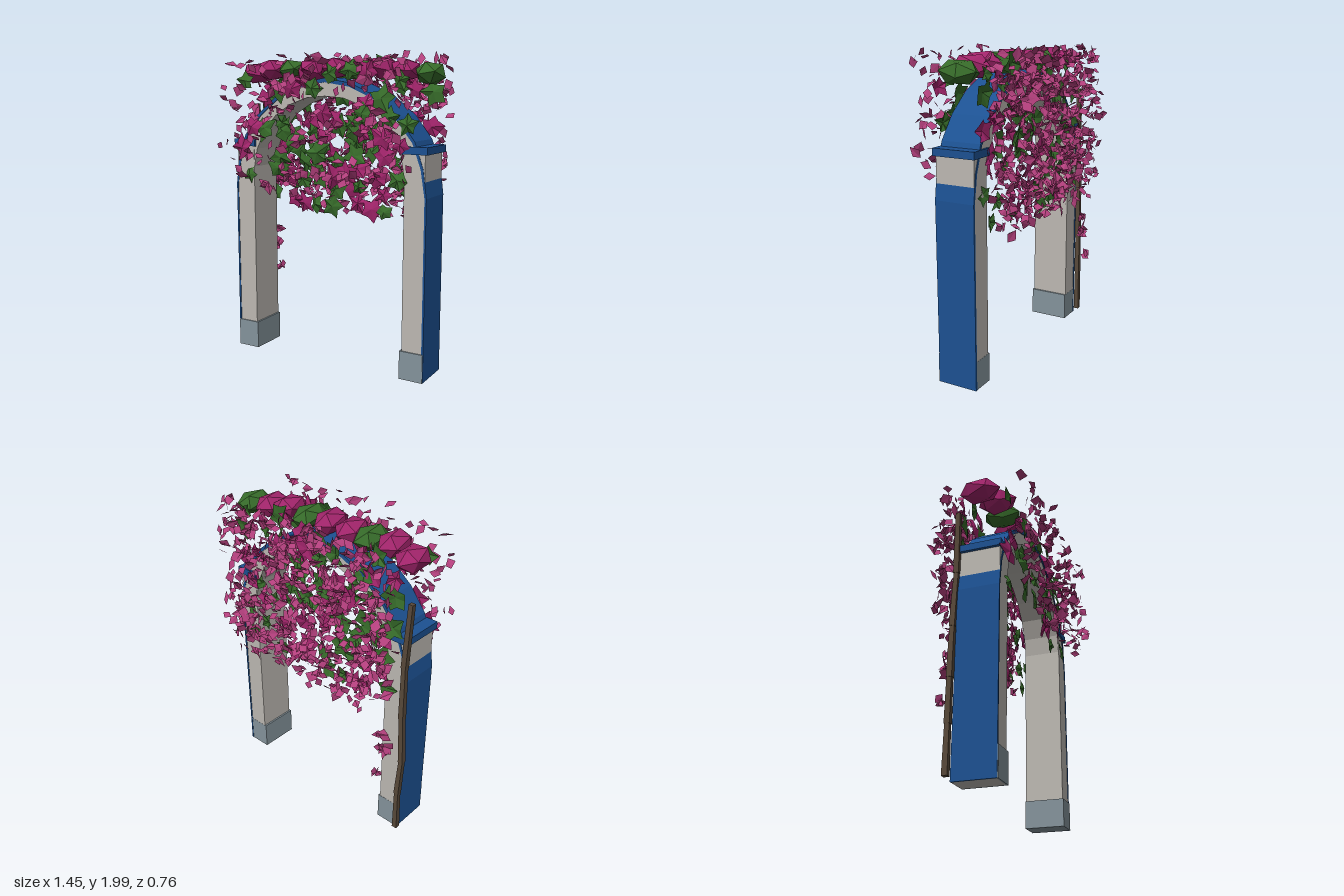
import * as THREE from 'three';
import { mergeGeometries } from 'three/addons/utils/BufferGeometryUtils.js';

let seed = 11;
const rnd = () => {
  seed = (seed * 16807) % 2147483647;
  return seed / 2147483647;
};
const range = (a, b) => a + (b - a) * rnd();

const material = (color, side = THREE.FrontSide) =>
  new THREE.MeshStandardMaterial({ color, side, flatShading: true });

// Half profiles of the arch, mirrored about x = 0
const OUTER = [[0.69, 0], [0.69, 1.13], [0.667, 1.3], [0.61, 1.46], [0.5, 1.6], [0.35, 1.72], [0.18, 1.795], [0, 1.825]];
const MIDDLE = [[0.678, 0], [0.678, 1.13], [0.65, 1.3], [0.595, 1.45], [0.486, 1.585], [0.34, 1.7], [0.175, 1.772], [0, 1.8]];
const INNER = [[0.545, 0], [0.545, 1.25], [0.52, 1.37], [0.46, 1.49], [0.37, 1.59], [0.26, 1.66], [0.13, 1.705], [0, 1.715]];
const mirrored = (half) => [...half, ...half.slice(0, -1).reverse().map(([x, y]) => [-x, y])];

function archBand(outer, inner, z0, z1) {
  const pts = [...mirrored(outer), ...mirrored(inner).reverse()];
  const shape = new THREE.Shape(pts.map(([x, y]) => new THREE.Vector2(x, y)));
  return new THREE.ExtrudeGeometry(shape, { depth: z1 - z0, bevelEnabled: false }).translate(0, 0, z0);
}

// Crumpled five-pointed leaf cluster
function star(r) {
  const g = new THREE.CircleGeometry(r, 10);
  const p = g.attributes.position;
  for (let i = 1; i <= 10; i++) {
    const k = i % 2 ? range(0.85, 1.2) : range(0.5, 0.72);
    p.setXYZ(i, p.getX(i) * k, p.getY(i) * k, range(-0.012, 0.012));
  }
  p.setXYZ(11, p.getX(1), p.getY(1), p.getZ(1));
  p.setZ(0, 0.015);
  return g;
}

// Small folded petal with uneven corners
function petal(s) {
  const g = new THREE.PlaneGeometry(s, s).rotateZ(Math.PI / 4);
  const p = g.attributes.position;
  for (let i = 0; i < 4; i++) p.setXYZ(i, p.getX(i) * range(0.6, 1), p.getY(i) * range(0.8, 1.3), s * range(-0.2, 0.2));
  return g;
}

function place(g, x, y, z, tilt) {
  return g.rotateZ(range(0, 6.28)).rotateX(range(-tilt, tilt)).rotateY(range(-tilt, tilt)).translate(x, y, z);
}

export function createModel() {
  const model = new THREE.Group();
  const add = (name, geometry, mat, parent = model) => {
    const mesh = new THREE.Mesh(geometry, mat);
    mesh.name = name;
    parent.add(mesh);
    return mesh;
  };
  const plaster = material(0xbcb8b2), stone = material(0x84939b), blue = material(0x1c5192);
  const bark = material(0x574839);
  const pink = material(0xa0246a, THREE.DoubleSide), green = material(0x376c2a, THREE.DoubleSide);
  const petalPink = material(0xb23f7c, THREE.DoubleSide);

  // Arch body and its painted outer band
  add('archBody', archBand(MIDDLE, INNER, -0.115, 0.133), plaster);
  add('archTrim', archBand(OUTER, MIDDLE, -0.12, 0.138), blue);

  // Pillars, feet and caps
  for (const [s, side] of [[1, 'left'], [-1, 'right']]) {
    const box = (name, x0, x1, y0, y1, z0, z1, mat) =>
      add(side + name, new THREE.BoxGeometry(x1 - x0, y1 - y0, z1 - z0)
        .translate(s * (x0 + x1) / 2, (y0 + y1) / 2, (z0 + z1) / 2), mat);
    box('Pillar', 0.545, 0.677, 0.01, 1.39, -0.117, 0.135, plaster);
    box('Foot', 0.533, 0.688, 0, 0.18, -0.118, 0.143, stone);
    box('Cap', 0.53, 0.695, 1.385, 1.43, -0.13, 0.147, blue);
  }

  // Climbing stem of tapered lengths up the back corner of the right pillar
  const stem = new THREE.Group();
  stem.name = 'stem';
  model.add(stem);
  const path = [[-0.7, 0.035, -0.142], [-0.697, 0.32, -0.142], [-0.71, 0.58, -0.135], [-0.694, 0.9, -0.138],
    [-0.685, 1.25, -0.13], [-0.703, 1.65, -0.125]].map((p) => new THREE.Vector3(...p));
  for (let i = 0; i < path.length - 1; i++) {
    const dir = path[i + 1].clone().sub(path[i]);
    const g = new THREE.CylinderGeometry(0.02, 0.024, dir.length() + 0.01, 4).rotateY(Math.PI / 4);
    const seg = add('stemSegment', g, bark, stem);
    seg.position.copy(path[i]).addScaledVector(dir, 0.5);
    seg.quaternion.setFromUnitVectors(new THREE.Vector3(0, 1, 0), dir.normalize());
  }

  // Row of faceted bushes along the top, as [x, y, z]
  const row = new THREE.Group();
  row.name = 'topBushes';
  model.add(row);
  [[-0.62, 1.86, -0.025], [-0.455, 1.88, 0.03], [-0.305, 1.875, 0.01], [-0.15, 1.875, 0.025], [0.01, 1.885, 0.025],
    [0.17, 1.875, 0.01], [0.35, 1.885, 0.025], [0.485, 1.87, 0.01], [0.64, 1.85, -0.005]].forEach((p, i) => {
    const g = new THREE.IcosahedronGeometry(1, 0).rotateZ(0.3 * (i % 3)).rotateX(0.55);
    const bush = add('bush', g.scale(0.09, 0.075, 0.135), i % 3 === 2 ? green : pink, row);
    bush.position.set(...p);
  });

  // Leaf curtains: large clusters close to the wall, mixed with small ones
  function curtain(name, z, y0, rows, chance) {
    const sets = { pink: [], green: [] };
    for (let r = 0; r < rows; r++) {
      for (let c = 0; c < 10; c++) {
        if (rnd() > chance) continue;
        const x = -0.56 + c * 0.124 + range(-0.05, 0.05);
        const y = y0 + r * (1.84 - y0) / (rows - 1) + range(-0.05, 0.05);
        const g = place(star(range(0.055, 0.095)), x, y, z + range(-0.012, 0.012), 0.2);
        sets[rnd() < 0.58 ? 'green' : 'pink'].push(g);
      }
    }
    add(name + 'GreenLeaves', mergeGeometries(sets.green), green);
    add(name + 'PinkLeaves', mergeGeometries(sets.pink), pink);
  }
  curtain('front', 0.153, 1.22, 6, 0.65);
  curtain('back', -0.138, 1.02, 8, 0.95);

  // Loose petals scattered off both faces
  function petals(name, count, x0, x1, y0, y1, z0, z1) {
    const list = [];
    for (let i = 0; i < count; i++) {
      const z = (range(z0, z1) + range(z0, z1)) / 2;
      list.push(place(petal(range(0.038, 0.06)), range(x0, x1), range(y0, y1), z, 1.2));
    }
    add(name, mergeGeometries(list), petalPink);
  }
  petals('frontPetals', 210, -0.66, 0.64, 1.12, 1.96, 0.19, 0.36);
  petals('backPetals', 640, -0.66, 0.66, 1.08, 1.96, -0.345, -0.165);
  petals('lowBackPetals', 90, -0.54, 0.6, 0.93, 1.12, -0.34, -0.17);
  petals('stemPetals', 14, -0.66, -0.56, 0.64, 0.78, -0.24, -0.18);
  petals('stemLowPetals', 4, -0.63, -0.58, 0.46, 0.54, -0.26, -0.22);
  return model;
}
